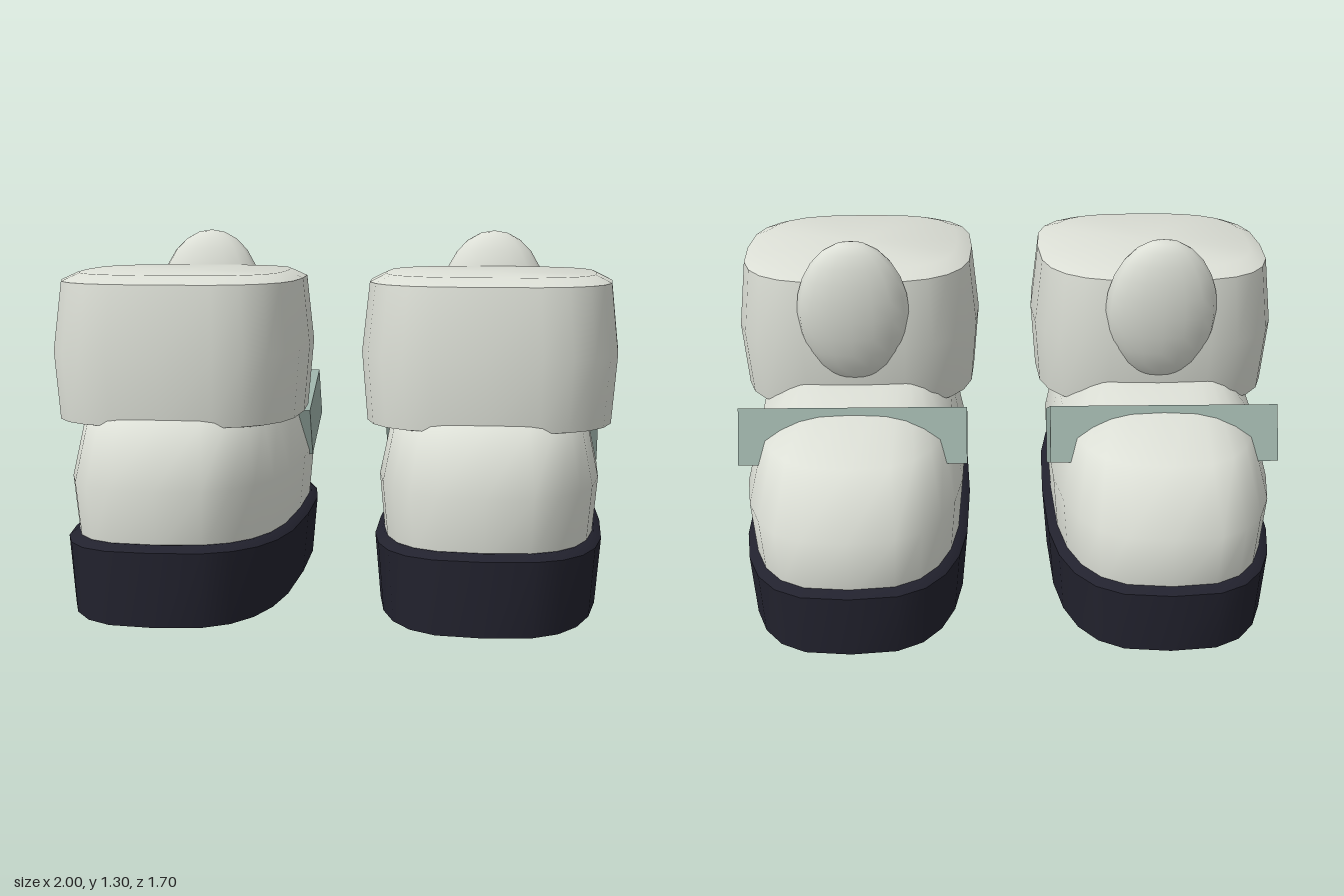
import * as THREE from 'three';
import { toCreasedNormals } from 'three/addons/utils/BufferGeometryUtils.js';

const SIDES = 24;
const squircle = (v) => Math.sign(v) * Math.pow(Math.abs(v), 2 / 3);

// Stacked rounded-rectangle rings, capped at both ends.
// Each ring: [half width, z toe, z heel, y toe, y heel, bend of the height curve]
function loft(rings, crease) {
  const pos = [];
  const index = [];
  for (const [w, z0, z1, y0, y1, bend = 1] of rings) {
    for (let i = 0; i < SIDES; i++) {
      const a = (i / SIDES) * Math.PI * 2;
      const s = squircle(Math.sin(a));
      const t = (s + 1) / 2;
      pos.push(w * squircle(Math.cos(a)), y0 + (y1 - y0) * Math.pow(t, bend), z0 + (z1 - z0) * t);
    }
  }
  const last = (rings.length - 1) * SIDES;
  for (const r of [rings[0], rings[rings.length - 1]]) {
    pos.push(0, (r[3] + r[4]) / 2, (r[1] + r[2]) / 2);
  }
  const bottom = rings.length * SIDES;
  for (let i = 0; i < SIDES; i++) {
    const j = (i + 1) % SIDES;
    for (let r = 0; r < last; r += SIDES) {
      const a = r + i, b = r + j, c = a + SIDES, d = b + SIDES;
      index.push(a, c, b, c, d, b);
    }
    index.push(bottom, i, j, bottom + 1, last + j, last + i);
  }
  const geo = new THREE.BufferGeometry();
  geo.setAttribute('position', new THREE.Float32BufferAttribute(pos, 3));
  geo.setIndex(index);
  geo.computeVertexNormals();
  return toCreasedNormals(geo, crease);
}

export function createModel() {
  const cream = new THREE.MeshStandardMaterial({ name: 'cream', color: 0xdcdfd6 });
  const navy = new THREE.MeshStandardMaterial({ name: 'darkNavy', color: 0x22222e });
  const sage = new THREE.MeshStandardMaterial({ name: 'sageGreen', color: 0x9bb0a7 });

  // Thick sole, slightly raised at the heel
  const sole = loft([
    [0.39, -0.835, 0.84, 0, 0],
    [0.41, -0.85, 0.85, 0.22, 0.258, 2.5],
    [0.385, -0.82, 0.81, 0.24, 0.276, 2.5],
  ], 0.7);

  // Foot shell: low rounded toe rising to the instep
  const upper = loft([
    [0.375, -0.81, 0.795, 0.2, 0.24],
    [0.395, -0.85, 0.825, 0.43, 0.46],
    [0.35, -0.67, 0.74, 0.62, 0.68],
    [0.25, -0.27, 0.55, 0.755, 0.72],
    [0.2, -0.18, 0.45, 0.75, 0.72],
  ], 1.2);

  // Barrel-shaped ankle cuff with bevelled rims
  const cuff = loft([
    [0.34, -0.1, 0.58, 0.635, 0.635],
    [0.43, -0.2, 0.71, 0.66, 0.66],
    [0.45, -0.245, 0.73, 0.9, 0.9],
    [0.425, -0.22, 0.688, 1.14, 1.14],
    [0.37, -0.14, 0.6, 1.167, 1.167],
  ], 0.75);

  const strap = new THREE.BoxGeometry(0.806, 0.2, 0.316);
  const tab = new THREE.SphereGeometry(1, 16, 12);

  const model = new THREE.Group();
  model.name = 'boots';
  for (const [name, side] of [['leftBoot', 1], ['rightBoot', -1]]) {
    const boot = new THREE.Group();
    boot.name = name;
    boot.position.x = 0.55 * side;
    const add = (part, geo, material) => {
      const mesh = new THREE.Mesh(geo, material);
      mesh.name = part;
      boot.add(mesh);
      return mesh;
    };
    add('sole', sole, navy);
    add('upper', upper, cream);
    add('cuff', cuff, cream);

    // Strap tilted across the instep
    const band = add('instepStrap', strap, sage);
    band.position.set(0, 0.58, -0.287);
    band.rotation.x = 0.41;

    // Oval pull tab on the toe side of the cuff
    const pull = add('pullTab', tab, cream);
    pull.position.set(0, 1.03, -0.21);
    pull.scale.set(0.2, 0.27, 0.1);
    pull.rotation.x = -0.12;
    model.add(boot);
  }
  return model;
}
